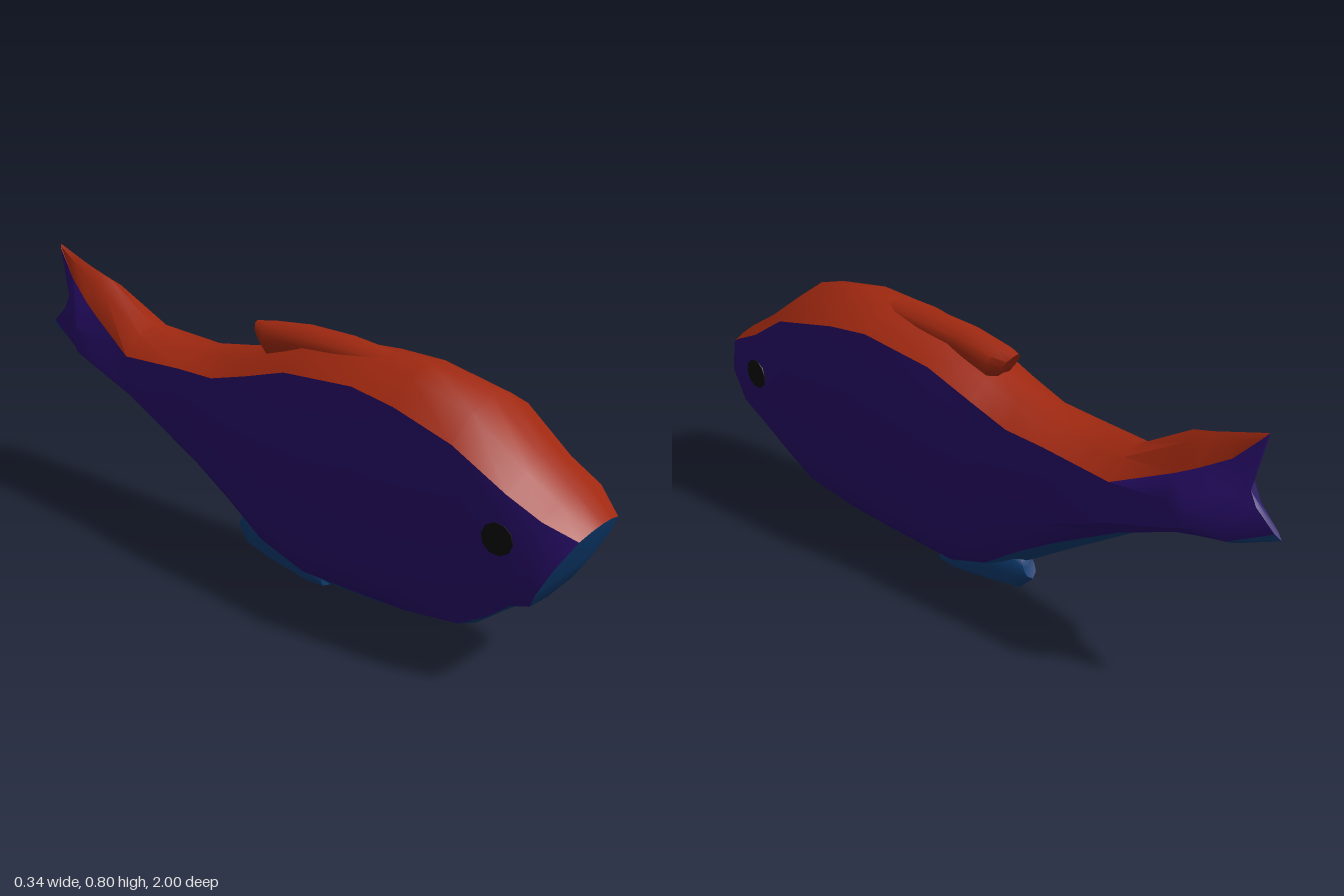
import * as THREE from 'three';
import { toCreasedNormals } from 'three/addons/utils/BufferGeometryUtils.js';

const paint = (name, color) => Object.assign(new THREE.MeshStandardMaterial({ color }), { name });

// A station is [zTop, zBottom, bow, yTop, yBack, yHigh, yLow, yBelly, yBottom, wBack, wSide, wBelly].
// It gives a mirrored ring of 12 points: top, down the left side, bottom, up the right side.
function ring([zT, zB, bow, top, back, high, low, belly, bottom, wBack, wSide, wBelly]) {
  const half = [
    [0, top], [wBack * 0.5, back + (top - back) * 0.75], [wBack, back],
    [wSide, high], [wSide, low], [wBelly, belly], [0, bottom],
  ];
  const mirrored = half.slice(1, 6).reverse().map(([x, y]) => [-x, y]);
  return [...half, ...mirrored].map(([x, y]) => {
    const t = (top - y) / (top - bottom);
    return [x, y, zT + (zB - zT) * t + bow * Math.sin(Math.PI * t)];
  });
}

// Skins the rings from front to back; bands[j] is the material index of strip j.
function loft(stations, bands, frontCentre, backCentre, frontMat, backMat) {
  const rings = stations.map(ring);
  const n = 12;
  const points = [...rings.flat(), frontCentre, backCentre];
  const lists = [[], [], []];
  for (let j = 0; j < n; j++) {
    const k = (j + 1) % n;
    for (let i = 0; i < rings.length - 1; i++) {
      const a = i * n + j, b = i * n + k, c = b + n, d = a + n;
      lists[bands[j]].push(a, b, c, a, c, d);
    }
    const last = (rings.length - 1) * n;
    lists[frontMat].push(rings.length * n, k, j);
    lists[backMat].push(rings.length * n + 1, last + j, last + k);
  }
  const geometry = new THREE.BufferGeometry();
  geometry.setAttribute('position', new THREE.Float32BufferAttribute(points.flat(), 3));
  geometry.setIndex(lists.flat());
  let start = 0;
  lists.forEach((list, m) => {
    if (list.length) geometry.addGroup(start, list.length, m);
    start += list.length;
  });
  return toCreasedNormals(geometry, 0.7);
}

// Fin station with evenly spread heights
function fin(zT, zB, top, bottom, w) {
  const y = (t) => top + (bottom - top) * t;
  return [zT, zB, 0, top, y(0.2), y(0.4), y(0.6), y(0.8), bottom, w * 0.85, w, w * 0.85];
}

export function createModel() {
  const red = paint('back red', 0x9f2810);
  const purple = paint('side purple', 0x280e6a);
  const blue = paint('belly blue', 0x0d3a6e);
  const black = paint('eye black', 0x0a0a0c);
  const materials = [red, purple, blue];
  const model = new THREE.Group();
  model.name = 'fish';

  const add = (name, geometry, material) => {
    const mesh = new THREE.Mesh(geometry, material);
    mesh.name = name;
    model.add(mesh);
    return mesh;
  };

  // Body and tail, from the snout to the tail fork
  const bodyStations = [
    [1.0, 0.86, 0, 0.51, 0.49, 0.42, 0.33, 0.27, 0.25, 0.09, 0.128, 0.1],
    [0.92, 0.8, 0, 0.565, 0.535, 0.45, 0.33, 0.25, 0.21, 0.135, 0.15, 0.1],
    [0.82, 0.74, 0, 0.63, 0.58, 0.52, 0.32, 0.19, 0.165, 0.145, 0.157, 0.095],
    [0.66, 0.65, 0, 0.75, 0.675, 0.6, 0.3, 0.125, 0.09, 0.168, 0.168, 0.085],
    [0.46, 0.46, 0, 0.79, 0.71, 0.62, 0.25, 0.085, 0.045, 0.145, 0.155, 0.07],
    [0.32, 0.32, 0, 0.78, 0.725, 0.63, 0.22, 0.07, 0.025, 0.14, 0.152, 0.06],
    [0.08, 0.08, 0, 0.755, 0.695, 0.6, 0.2, 0.055, 0.012, 0.13, 0.148, 0.05],
    [-0.07, -0.07, 0, 0.69, 0.64, 0.55, 0.24, 0.11, 0.07, 0.122, 0.13, 0.06],
    [-0.2, -0.2, 0, 0.66, 0.597, 0.53, 0.3, 0.2, 0.15, 0.118, 0.12, 0.06],
    [-0.33, -0.33, 0, 0.625, 0.59, 0.54, 0.36, 0.28, 0.235, 0.116, 0.116, 0.06],
    [-0.55, -0.55, 0, 0.635, 0.568, 0.53, 0.45, 0.4, 0.375, 0.112, 0.112, 0.06],
    [-0.72, -0.72, 0, 0.735, 0.64, 0.58, 0.5, 0.465, 0.445, 0.07, 0.103, 0.05],
  ];
  const tailStations = [
    [-0.78, -0.78, 0, 0.75, 0.67, 0.6, 0.52, 0.475, 0.453, 0.055, 0.1, 0.04],
    [-0.86, -0.86, 0, 0.775, 0.715, 0.63, 0.53, 0.485, 0.468, 0.03, 0.045, 0.03],
    [-0.94, -1.0, 0.08, 0.8, 0.79, 0.68, 0.6, 0.545, 0.53, 0.008, 0.012, 0.008],
  ];
  const bands = [0, 0, 1, 1, 1, 2, 2, 1, 1, 1, 0, 0];
  add('body', loft([...bodyStations, ...tailStations], bands, [0, 0.4, 0.96], [0, 0.63, -0.9], 2, 1), materials);

  // Dorsal fin, a rounded ridge with an overhanging rear tip
  const dorsal = [
    fin(0.34, 0.34, 0.782, 0.72, 0.045),
    fin(0.2, 0.2, 0.79, 0.7, 0.055),
    fin(0.05, 0.05, 0.785, 0.68, 0.055),
    fin(-0.08, -0.05, 0.765, 0.66, 0.05),
    fin(-0.13, -0.07, 0.755, 0.67, 0.03),
  ];
  add('dorsalFin', loft(dorsal, Array(12).fill(0), [0, 0.75, 0.34], [0, 0.71, -0.095], 0, 0), materials);

  // Belly fin
  const bellyFin = [
    fin(0.14, 0.14, 0.06, 0.012, 0.035),
    fin(0.08, 0.08, 0.09, 0.002, 0.04),
    fin(-0.06, -0.06, 0.14, 0.02, 0.045),
    fin(-0.15, -0.15, 0.17, 0.035, 0.038),
    fin(-0.17, -0.2, 0.15, 0.085, 0.022),
  ];
  add('bellyFin', loft(bellyFin, Array(12).fill(2), [0, 0.04, 0.14], [0, 0.12, -0.18], 2, 2), materials);

  // Eyes, thin discs lying on the cheeks
  for (const side of [1, -1]) {
    const eye = add(side > 0 ? 'leftEye' : 'rightEye', new THREE.CylinderGeometry(0.045, 0.045, 0.008, 10), black);
    eye.position.set(side * 0.156, 0.46, 0.8);
    eye.quaternion.setFromUnitVectors(new THREE.Vector3(0, 1, 0), new THREE.Vector3(side, 0, 0.08).normalize());
  }
  return model;
}
